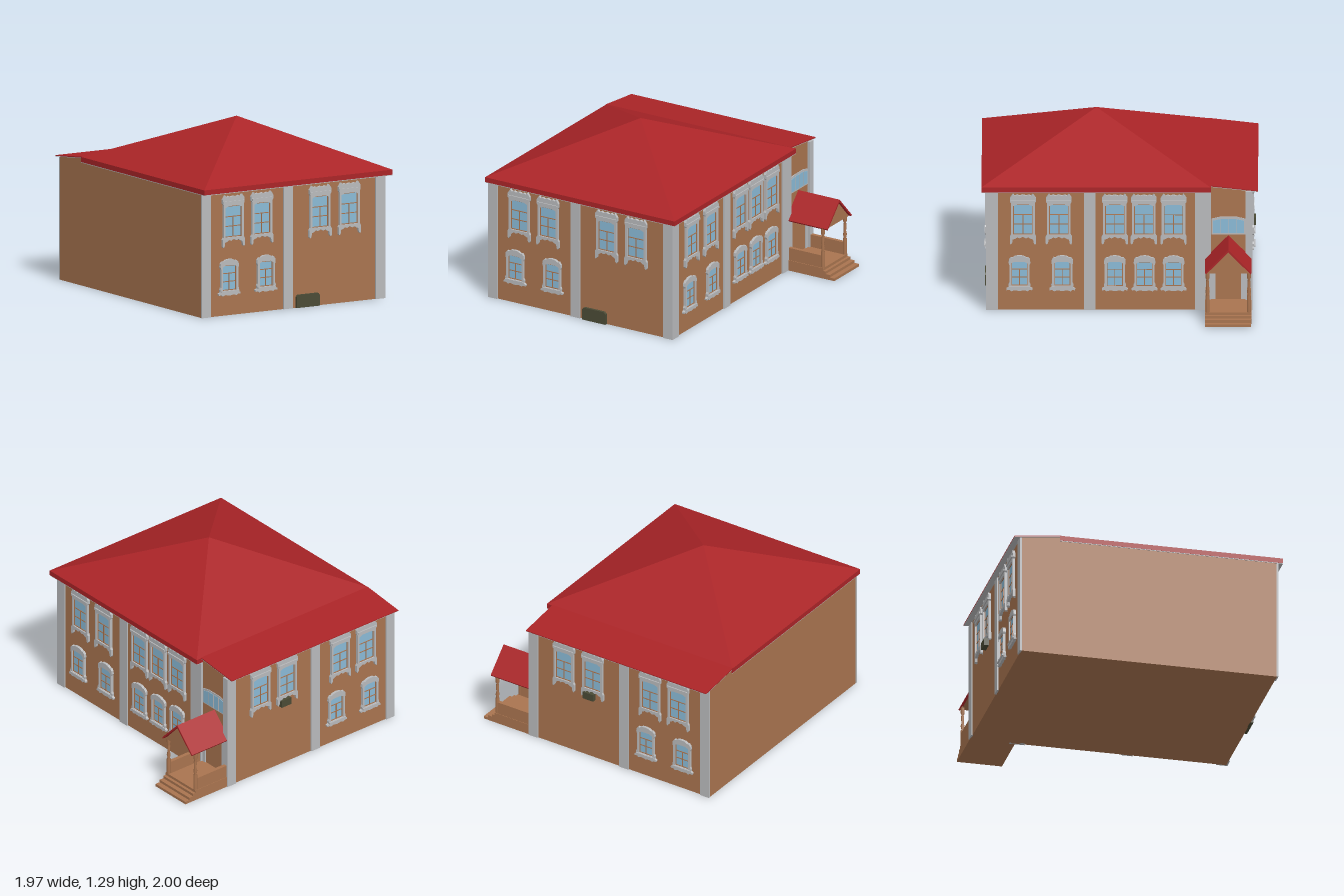
import * as THREE from 'three';

const mat = (name, color) => {
  const m = new THREE.MeshStandardMaterial({ color });
  m.name = name;
  return m;
};

export function createModel() {
  const wall = mat('brown wall', 0xa9744f);
  const red = mat('red roof', 0xaa2427);
  const trim = mat('grey trim', 0xb9babc);
  const glass = mat('blue glass', 0x8abad6);
  const dark = mat('dark hatch', 0x4a4a35);

  const model = new THREE.Group();
  model.name = 'house';

  const add = (parent, name, geo, material) => {
    const m = new THREE.Mesh(geo, material);
    m.name = name;
    parent.add(m);
    return m;
  };
  // Box given by its minimum and maximum corners
  const box = (parent, name, material, x0, x1, y0, y1, z0, z1) => {
    const m = add(parent, name, new THREE.BoxGeometry(x1 - x0, y1 - y0, z1 - z0), material);
    m.position.set((x0 + x1) / 2, (y0 + y1) / 2, (z0 + z1) / 2);
    return m;
  };
  const shapeOf = pts => new THREE.Shape(pts.map(p => new THREE.Vector2(...p)));
  const extrude = (shape, depth) =>
    new THREE.ExtrudeGeometry(shape, { depth, bevelEnabled: false, curveSegments: 6 });
  // Prism with a [z, y] profile running along x
  const prism = (parent, name, material, pts, x0, x1) => {
    const g = extrude(shapeOf(pts.map(([z, y]) => [-z, y])), x1 - x0);
    g.rotateY(Math.PI / 2).translate(x0, 0, 0);
    return add(parent, name, g, material);
  };
  // Mirror a half outline about x = 0
  const mirrored = half => [...half, ...half.filter(p => p[0] > 0).reverse().map(([x, y]) => [-x, y])];

  // Walls
  box(model, 'mainWalls', wall, -0.98, 0.58, 0, 0.91, -0.65, 0.955);
  prism(model, 'rearWalls', wall,
    [[-0.65, 0], [-0.65, 0.94], [-0.95, 0.905], [-0.95, 0]], -0.98, 0.57);

  // Main roof: fascia, soffit and four-sided hip
  box(model, 'roofFascia', red, -0.985, 0.63, 0.908, 0.945, -0.66, 1);
  box(model, 'roofSoffit', trim, -0.984, 0.629, 0.903, 0.908, -0.659, 0.999);
  const hip = new THREE.ConeGeometry(Math.SQRT1_2, 1, 4, 1, true)
    .rotateY(Math.PI / 4).scale(1.615, 0.35, 1.66).toNonIndexed();
  hip.computeVertexNormals();
  add(model, 'hipRoof', hip, red).position.set(-0.1775, 1.12, 0.17);

  // Lean-to roof at the rear
  prism(model, 'rearRoof', red, [[-0.65, 0.948], [-1, 0.908], [-1, 0.902], [-0.65, 0.94]], -0.985, 0.585);
  prism(model, 'rearSoffit', trim, [[-0.65, 0.94], [-0.999, 0.902], [-0.999, 0.898], [-0.65, 0.936]], -0.984, 0.584);

  // Pilasters
  for (const [x0, x1] of [[-0.982, -0.905], [-0.28, -0.2], [0.51, 0.59]]) {
    box(model, 'frontPilaster', trim, x0, x1, 0, 0.904, 0.95, 0.966);
    box(model, 'backPilaster', trim, x0, x1, 0, 0.9, -0.96, -0.945);
  }
  for (const [z0, z1] of [[0.88, 0.965], [0.175, 0.258], [-0.66, -0.545], [-0.959, -0.91]])
    box(model, 'sidePilaster', trim, 0.56, 0.592, 0, 0.9, z0, z1);

  // Ornate surrounds, as half outlines running clockwise from the top
  const upper = {
    w: 0.07, y0: 0.575, y1: 0.805, bars: [0.725, 0.655], cornice: [0.088, 0.825, 0.84],
    half: [[0, 0.878], [0.025, 0.87], [0.04, 0.878], [0.06, 0.87], [0.072, 0.885], [0.083, 0.87],
      [0.093, 0.855], [0.093, 0.825], [0.086, 0.815], [0.086, 0.575], [0.095, 0.56], [0.095, 0.51],
      [0.088, 0.5], [0.078, 0.512], [0.074, 0.538], [0.055, 0.545], [0.04, 0.555], [0.022, 0.548], [0, 0.56]],
  };
  const lower = {
    w: 0.058, y0: 0.185, y1: 0.37, bars: [0.31, 0.25], cornice: [0.076, 0.172, 0.184],
    half: [[0, 0.415], [0.03, 0.412], [0.05, 0.4], [0.062, 0.402], [0.076, 0.385], [0.079, 0.36],
      [0.073, 0.345], [0.073, 0.21], [0.08, 0.195], [0.078, 0.175], [0.094, 0.165], [0.092, 0.153],
      [0.072, 0.155], [0.06, 0.145], [0.035, 0.153], [0, 0.147]],
  };
  const addWindow = (style, name, x, z, angle) => {
    const { w, y0, y1, bars, cornice: [cw, c0, c1] } = style;
    const g = new THREE.Group();
    g.name = name;
    g.position.set(x, 0, z);
    g.rotation.y = angle;
    model.add(g);
    const outline = shapeOf(mirrored(style.half));
    outline.holes.push(new THREE.Path([[-w, y0], [w, y0], [w, y1 - 0.012], [w * 0.6, y1], [-w * 0.6, y1],
      [-w, y1 - 0.012]].map(p => new THREE.Vector2(...p))));
    add(g, 'surround', extrude(outline, 0.02), trim);
    box(g, 'ledge', trim, -cw, cw, c0, c1, 0, 0.028);
    box(g, 'pane', glass, -w, w, y0, y1, 0, 0.006);
    // Sash and glazing bars
    for (const s of [-1, 1]) box(g, 'sashSide', wall, s * (w - 0.002) - 0.003, s * (w - 0.002) + 0.003, y0, y1, 0, 0.011);
    for (const y of [y0 + 0.003, y1 - 0.003, ...bars]) box(g, 'bar', wall, -w, w, y - 0.003, y + 0.003, 0, 0.01);
    box(g, 'mullion', wall, -0.003, 0.003, y0, bars[0], 0, 0.011);
  };
  for (const [z, angle, side] of [[0.955, 0, 'front'], [-0.95, Math.PI, 'back']]) {
    for (const x of [-0.715, -0.47, 0.03, 0.28]) addWindow(upper, side + 'UpperWindow', x, z, angle);
    for (const x of [-0.75, -0.435]) addWindow(lower, side + 'LowerWindow', x, z, angle);
  }
  for (const z of [0.7, 0.44, 0.035, -0.175, -0.39]) addWindow(upper, 'sideUpperWindow', 0.58, z, Math.PI / 2);
  for (const z of [0.725, 0.415, 0.035, -0.18, -0.39]) addWindow(lower, 'sideLowerWindow', 0.58, z, Math.PI / 2);

  // Wide window above the porch
  const arch = (y, z0, z1, top) => [[z0, y], [z0, top - 0.014], [z0 - 0.06, top], [z1 + 0.06, top], [z1, top - 0.014], [z1, y]];
  prism(model, 'wideWindowFrame', trim, arch(0.572, -0.664, -0.909, 0.705), 0.565, 0.575);
  prism(model, 'wideWindowPane', glass, arch(0.582, -0.674, -0.899, 0.69), 0.57, 0.578);
  for (const z of [-0.73, -0.787, -0.843]) box(model, 'wideWindowBar', trim, 0.57, 0.58, 0.582, 0.69, z - 0.002, z + 0.002);

  // Dark hatch at the front and small box on the back
  add(model, 'cellarHatch', extrude(shapeOf([[-0.175, 0], [0.025, 0], [0.025, 0.08], [0.01, 0.095],
    [-0.16, 0.095], [-0.175, 0.08]]), 0.025), dark).position.z = 0.95;
  box(model, 'backBox', dark, 0.01, 0.1, 0.49, 0.545, -0.985, -0.945);

  // Porch
  const porch = new THREE.Group();
  porch.name = 'porch';
  model.add(porch);
  box(porch, 'floor', wall, 0.56, 0.888, 0, 0.08, -0.953, -0.617);
  [0.91, 0.945, 0.983].forEach((x, i) =>
    box(porch, 'step', wall, 0.885, x, 0, 0.06 - i * 0.02, -0.953, -0.617));
  for (const z of [-0.67, -0.9]) box(porch, 'doorTrim', trim, 0.56, 0.578, 0.08, 0.385, z - 0.022, z + 0.022);
  const post = new THREE.LatheGeometry([[0.015, 0.08], [0.015, 0.2], [0.009, 0.21], [0.015, 0.235], [0.009, 0.26],
    [0.012, 0.31], [0.008, 0.325], [0.015, 0.34], [0.015, 0.39]].map(p => new THREE.Vector2(...p)), 8);
  for (const z of [-0.636, -0.936]) {
    box(porch, 'parapet', wall, 0.56, 0.865, 0.08, 0.175, z - 0.014, z + 0.014);
    add(porch, 'post', post, wall).position.set(0.875, 0, z);
  }
  // Gable with ceiling, and the two roof slopes
  prism(porch, 'gable', wall, [[-0.635, 0.382], [-0.787, 0.545], [-0.939, 0.382]], 0.56, 0.905);
  for (const s of [-1, 1])
    prism(porch, 'porchRoofSlope', red, [[-0.787, 0.565], [-0.787 + s * 0.168, 0.39],
      [-0.787 + s * 0.162, 0.38], [-0.787, 0.546]], 0.56, 0.922);

  return model;
}
